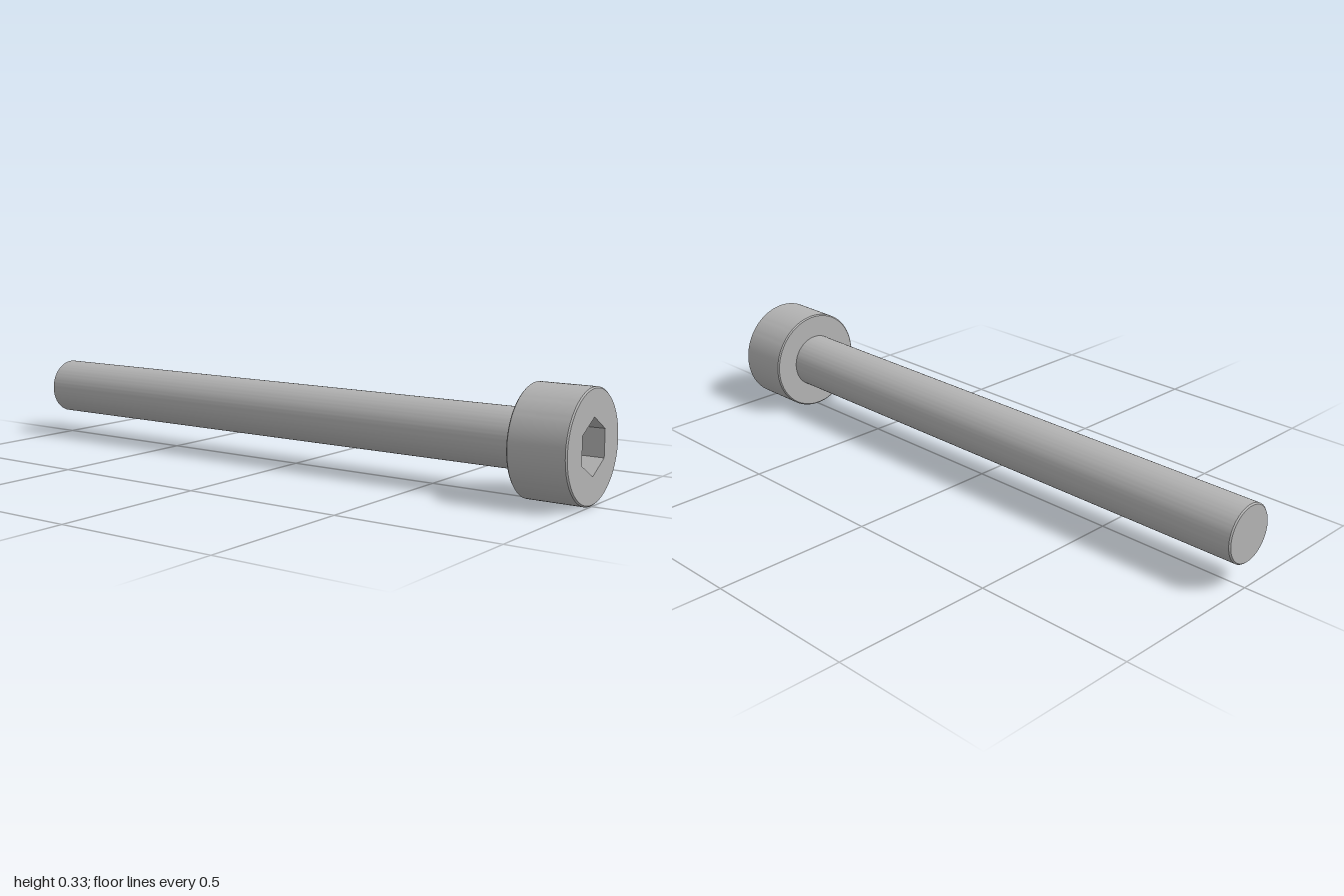
import * as THREE from 'three';
import { toCreasedNormals } from 'three/addons/utils/BufferGeometryUtils.js';

const HEAD_R = 0.164, SHAFT_R = 0.088, SOCKET_R = 0.082;
const SHOULDER_Z = 0.822, SOCKET_DEPTH = 0.09, BEVEL = 0.004, SEGMENTS = 96;

// Revolve a [radius, z] profile, listed back to front, around the z axis
function turned(profile) {
  const points = profile.map(([r, z]) => new THREE.Vector2(r, z));
  const geometry = new THREE.LatheGeometry(points, SEGMENTS).rotateX(Math.PI / 2);
  return toCreasedNormals(geometry, 0.5);
}

// Hexagon with a corner pointing up
function hexagon() {
  return Array.from({ length: 6 }, (_, i) => {
    const a = Math.PI / 2 + (i * Math.PI) / 3;
    return new THREE.Vector2(SOCKET_R * Math.cos(a), SOCKET_R * Math.sin(a));
  });
}

export function createModel() {
  const steel = new THREE.MeshStandardMaterial({ color: 0xb3b3b3 });
  steel.name = 'steel grey';
  const model = new THREE.Group();
  model.name = 'socketHeadScrew';

  function add(name, geometry, z = 0) {
    const mesh = new THREE.Mesh(geometry, steel);
    mesh.name = name;
    mesh.position.set(0, HEAD_R, z);
    model.add(mesh);
    return mesh;
  }

  // Plain shaft with a bevelled tip
  add('shaft', turned([
    [0, -1], [SHAFT_R - BEVEL, -1], [SHAFT_R, -1 + BEVEL], [SHAFT_R, SHOULDER_Z],
  ]));

  // Head side and shoulder, bevelled at both rims
  add('head', turned([
    [SHAFT_R, SHOULDER_Z], [HEAD_R - BEVEL, SHOULDER_Z], [HEAD_R, SHOULDER_Z + BEVEL],
    [HEAD_R, 1 - BEVEL], [HEAD_R - BEVEL, 1],
  ]));

  // Front face with the hexagonal opening
  const face = new THREE.Shape().absarc(0, 0, HEAD_R - BEVEL, 0, Math.PI * 2);
  face.holes.push(new THREE.Path(hexagon()).closePath());
  add('headFace', new THREE.ShapeGeometry(face, SEGMENTS / 2), 1);

  // Socket floor and its six inward-facing walls
  add('socketFloor', new THREE.ShapeGeometry(new THREE.Shape(hexagon())), 1 - SOCKET_DEPTH);
  const apothem = SOCKET_R * Math.cos(Math.PI / 6);
  for (let i = 0; i < 6; i++) {
    const wall = new THREE.PlaneGeometry(SOCKET_DEPTH, SOCKET_R)
      .rotateY(-Math.PI / 2)
      .translate(apothem, 0, -SOCKET_DEPTH / 2)
      .rotateZ((i * Math.PI) / 3);
    add('socketWall', wall, 1);
  }

  return model;
}
